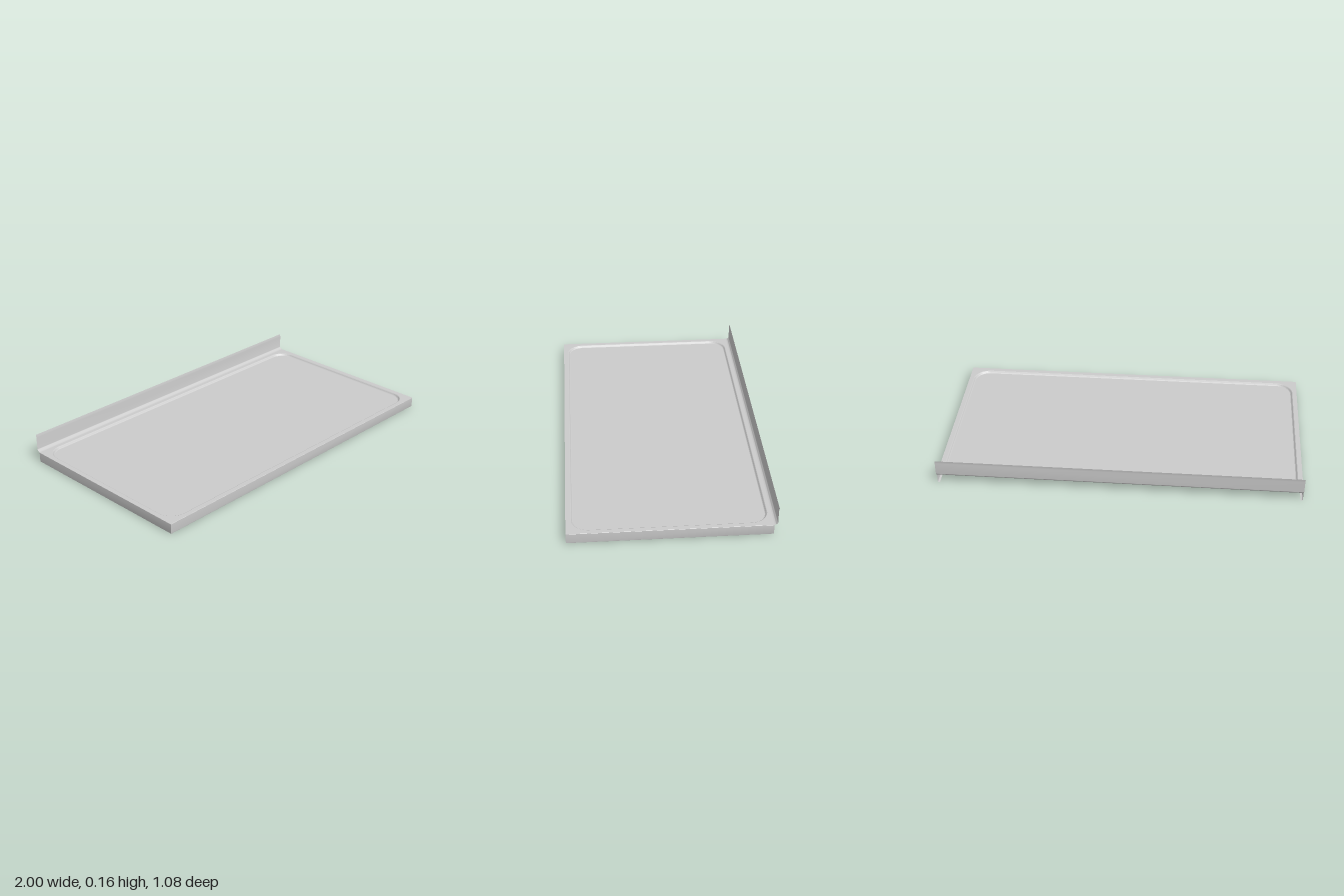
import * as THREE from 'three';
import { toCreasedNormals } from 'three/addons/utils/BufferGeometryUtils.js';

const W = 1, FRONT = 0.541, BACK = -0.52, TOP = 0.058;
const material = new THREE.MeshStandardMaterial({ color: 0xcccccc, side: THREE.DoubleSide });

// Joins successive rows of points into one thin sheet
function loft(rows) {
  const n = rows[0].length, index = [];
  for (let r = 0; r < rows.length - 1; r++) {
    for (let i = 0; i < n - 1; i++) {
      const a = r * n + i, b = a + n;
      index.push(a, b, a + 1, b, b + 1, a + 1);
    }
  }
  const g = new THREE.BufferGeometry();
  g.setAttribute('position', new THREE.Float32BufferAttribute(rows.flat(2), 3));
  g.setIndex(index);
  return toCreasedNormals(g, 0.7);
}

// Rounded outline of the recess, shrunk by d; shape y is minus z
function outline(d) {
  const x = 0.975 - d, y0 = -0.515 + d, y1 = 0.5 - d, r = 0.095 - d, q = Math.PI / 2;
  const s = new THREE.Shape();
  s.absarc(x - r, y1 - r, r, 0, q);
  s.absarc(-x + r, y1 - r, r, q, 2 * q);
  s.absarc(-x + r, y0 + r, r, 2 * q, 3 * q);
  s.absarc(x - r, y0 + r, r, 3 * q, 4 * q);
  s.closePath();
  return s;
}

export function createModel() {
  const group = new THREE.Group();
  const add = (name, geometry) => {
    const m = new THREE.Mesh(geometry, material);
    m.name = name;
    group.add(m);
    return m;
  };
  const flat = (name, shape, y) => {
    const m = add(name, new THREE.ShapeGeometry(shape, 12));
    m.rotation.x = -Math.PI / 2;
    m.position.y = y;
  };

  // Flat border around the recess
  const border = new THREE.Shape([[-W, -FRONT], [W, -FRONT], [W, -BACK], [-W, -BACK]]
    .map(([x, y]) => new THREE.Vector2(x, y)));
  border.holes.push(outline(0));
  flat('topBorder', border, TOP);

  // Shallow recess: rounded sloping wall and sunken panel
  const wall = [[0, 0], [0.003, -0.001], [0.005, -0.003], [0.007, -0.009], [0.009, -0.011], [0.012, -0.012]];
  add('recessWall', loft(wall.map(([d, y]) =>
    outline(d).getPoints(12).map(p => [p.x, TOP + y, -p.y]))));
  flat('recessPanel', outline(0.012), TOP - 0.012);

  // Skirt on the front and both sides, with a small inward hem
  const skirt = [[0.002, TOP], [0, TOP - 0.002], [0, 0.004], [0.001, 0.001], [0.004, 0], [0.012, 0]];
  add('skirt', loft(skirt.map(([d, y]) => [
    [-W + d, y, BACK], [-W + d, y, FRONT - d], [W - d, y, FRONT - d], [W - d, y, BACK],
  ])));

  // Rear upstand: quarter-round cove, upright, and a slight lean at the top
  const profile = [];
  for (let i = 0; i <= 8; i++) {
    const a = i / 8 * Math.PI / 2;
    profile.push([TOP + 0.018 * (1 - Math.cos(a)), BACK - 0.018 * Math.sin(a)]);
  }
  profile.push([0.142, -0.538], [0.15, -0.539], [0.16, -0.541]);
  add('rearUpstand', loft(profile.map(([y, z]) => [[W, y, z], [-W, y, z]])));

  return group;
}
